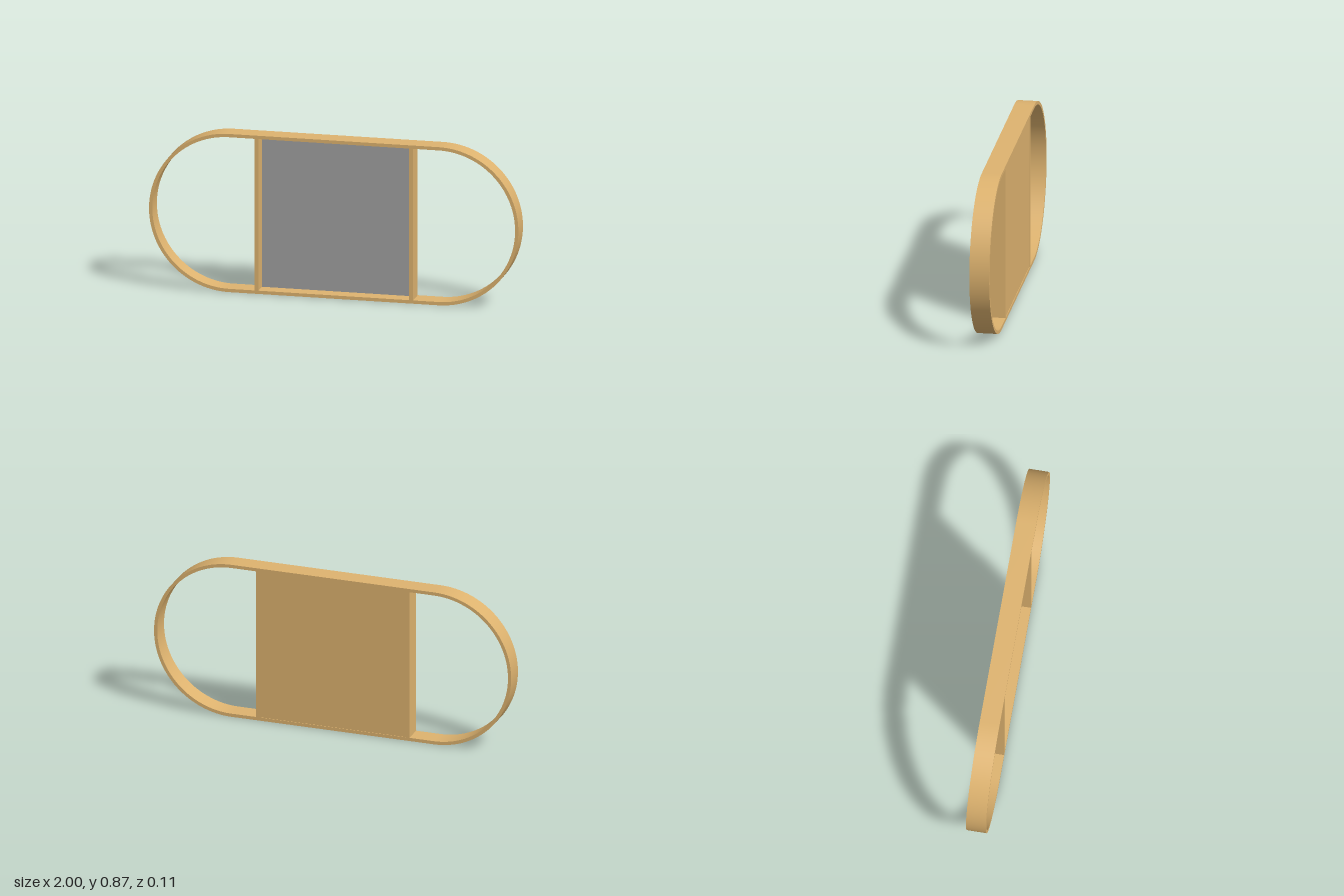
import * as THREE from 'three';
import { toCreasedNormals } from 'three/addons/utils/BufferGeometryUtils.js';

const DEPTH = 0.106;
const RADIUS = 0.433;  // outer radius of the rounded ends
const END_X = 0.567;   // centre of each rounded end
const BAND = 0.018;    // thickness of the wooden band

// Traces a stadium outline of radius r
function stadium(path, r) {
  path.moveTo(-END_X, -r);
  path.lineTo(END_X, -r);
  path.absarc(END_X, 0, r, -Math.PI / 2, Math.PI / 2, false);
  path.lineTo(-END_X, r);
  path.absarc(-END_X, 0, r, Math.PI / 2, Math.PI * 1.5, false);
  return path;
}

export function createModel() {
  const wood = new THREE.MeshStandardMaterial({ color: 0xdeb36f });
  wood.name = 'wood';
  const glass = new THREE.MeshStandardMaterial({ color: 0xa0a0a0 });
  glass.name = 'mirrorGrey';

  const model = new THREE.Group();
  model.name = 'wallMirror';

  function add(name, geometry, material, x, y, z) {
    const mesh = new THREE.Mesh(geometry, material);
    mesh.name = name;
    mesh.position.set(x, y, z);
    model.add(mesh);
  }

  // Bent wooden band with rounded ends
  const outline = stadium(new THREE.Shape(), RADIUS);
  outline.holes.push(stadium(new THREE.Path(), RADIUS - BAND));
  const band = new THREE.ExtrudeGeometry(outline, { depth: DEPTH, bevelEnabled: false, curveSegments: 40 });
  add('frameBand', toCreasedNormals(band, 0.5), wood, 0, RADIUS, -DEPTH / 2);

  // Upright dividers
  const innerHeight = 2 * (RADIUS - BAND);
  for (const side of [-1, 1]) {
    add(side > 0 ? 'leftDivider' : 'rightDivider',
      new THREE.BoxGeometry(0.022, innerHeight, DEPTH), wood, side * 0.419, RADIUS, 0);
  }

  // Backing board, with the mirror plate recessed on its front
  add('backingBoard', new THREE.BoxGeometry(0.816, innerHeight, 0.018), wood, 0, RADIUS, -0.041);
  add('mirrorPlate', new THREE.BoxGeometry(0.816, innerHeight, 0.006), glass, 0, RADIUS, -0.029);

  return model;
}
